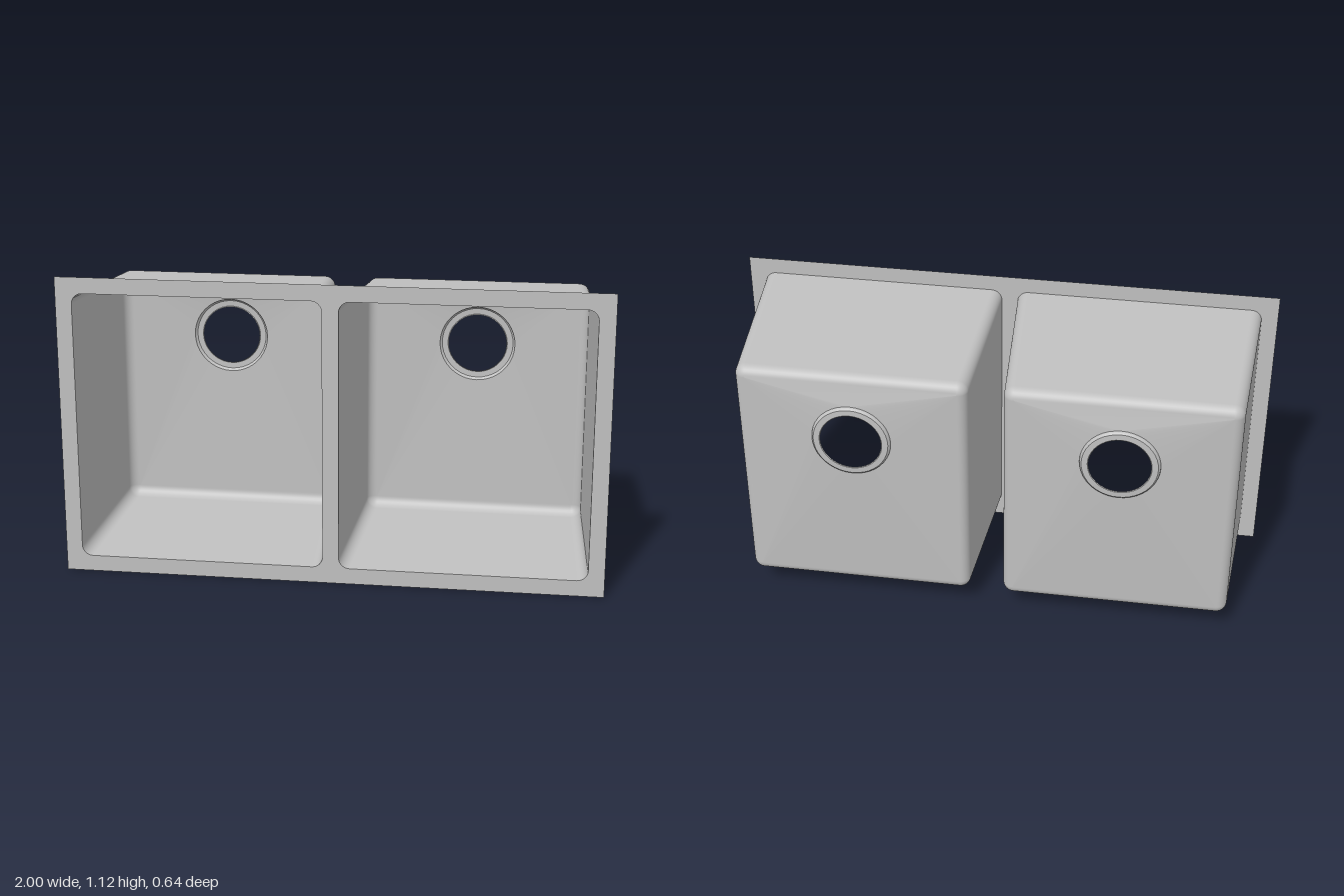
import * as THREE from 'three';
import { toCreasedNormals } from 'three/addons/utils/BufferGeometryUtils.js';

const CX = 0.485, CY = 0.5625, FRONT = 0.318, CORNER = 0.04, STEPS = 10;
const DRAIN_Y = 0.77;

// Closed loop of four corner arcs; a circle is a rectangle whose half sizes equal its radius
function loop(halfW, halfH, r, z, cy = CY) {
  const points = [];
  for (let c = 0; c < 4; c++) {
    const sx = c === 0 || c === 3 ? 1 : -1, sy = c < 2 ? 1 : -1;
    for (let i = 0; i <= STEPS; i++) {
      const a = (c + i / STEPS) * Math.PI / 2;
      points.push([sx * (halfW - r) + r * Math.cos(a), cy + sy * (halfH - r) + r * Math.sin(a), z]);
    }
  }
  return points;
}

const circle = (r, z) => loop(r, r, r, z, DRAIN_Y);

// Skin joining successive loops from front to back, facing outward
function skin(loops, crease) {
  const n = loops[0].length, index = [];
  for (let j = 0; j < loops.length - 1; j++) {
    for (let i = 0; i < n; i++) {
      const a = j * n + i, b = j * n + (i + 1) % n;
      index.push(a, a + n, b, b, a + n, b + n);
    }
  }
  const g = new THREE.BufferGeometry();
  g.setAttribute('position', new THREE.Float32BufferAttribute(loops.flat(2), 3));
  g.setIndex(index);
  if (crease) return toCreasedNormals(g, crease);
  g.computeVertexNormals();
  return g;
}

export function createModel() {
  const model = new THREE.Group();
  model.name = 'doubleSink';
  const steel = new THREE.MeshStandardMaterial({ color: 0xc0c0c0, side: THREE.DoubleSide });
  steel.name = 'steel';

  // Flat rim with two rounded openings
  const rimShape = new THREE.Shape();
  rimShape.moveTo(-1, 0).lineTo(1, 0).lineTo(1, 1.125).lineTo(-1, 1.125).closePath();
  const opening = loop(0.455, 0.5025, CORNER, FRONT);
  for (const s of [-1, 1]) {
    rimShape.holes.push(new THREE.Path(opening.map(([x, y]) => new THREE.Vector2(x + s * CX, y))));
  }
  const rim = new THREE.Mesh(new THREE.ShapeGeometry(rimShape), steel);
  rim.name = 'rim';
  rim.position.z = FRONT;
  model.add(rim);

  // Tapered walls, rounded bottom edge, then a floor sloping to the drain
  const bowlLoops = [opening];
  for (let i = 0; i <= 8; i++) {
    const a = i / 8 * Math.PI / 2, inset = 0.038 * (1 - Math.cos(a));
    bowlLoops.push(loop(0.422 - inset, 0.4675 - inset, CORNER - inset, -0.25 - 0.038 * Math.sin(a)));
  }
  bowlLoops.push(circle(0.145, -0.305));
  const bowlGeometry = skin(bowlLoops);

  // Stepped drain seat around the open hole
  const drainGeometry = skin([
    circle(0.145, -0.305), circle(0.143, -0.312), circle(0.137, -0.317),
    circle(0.115, -0.318), circle(0.112, -0.316),
  ], 0.6);

  for (const [side, s] of [['right', -1], ['left', 1]]) {
    const basin = new THREE.Group();
    basin.name = side + 'Basin';
    basin.position.x = s * CX;
    const bowl = new THREE.Mesh(bowlGeometry, steel);
    bowl.name = side + 'Bowl';
    const drain = new THREE.Mesh(drainGeometry, steel);
    drain.name = side + 'DrainSeat';
    basin.add(bowl, drain);
    model.add(basin);
  }
  return model;
}
